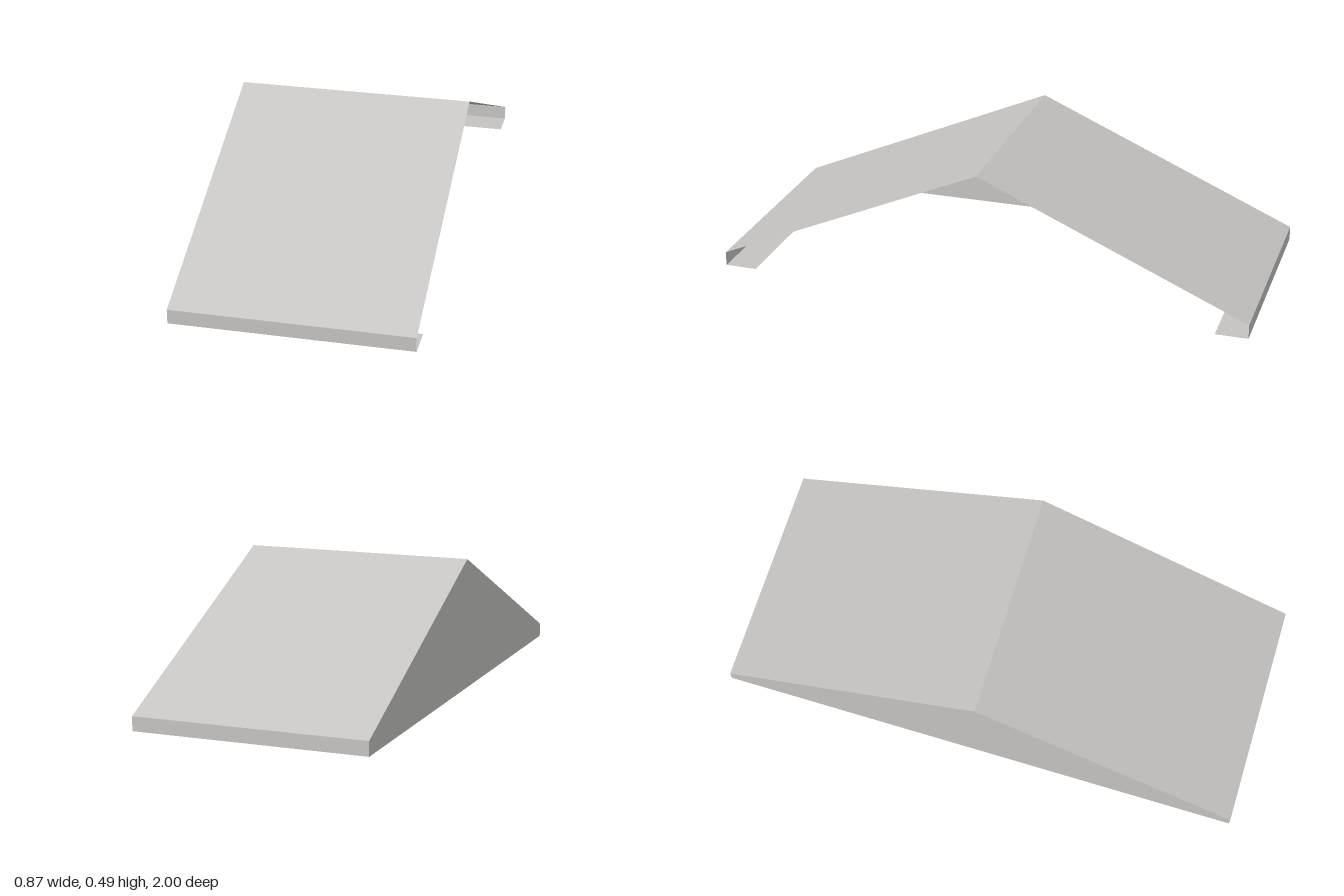
import * as THREE from 'three';

const HALF_WIDTH = 0.433, HALF_DEPTH = 1, EAVE = 0.053, RIDGE = 0.49, SOFFIT = 0.12;

export function createModel() {
  const model = new THREE.Group();
  model.name = 'gableRoof';

  const roofGrey = new THREE.MeshStandardMaterial({ color: 0xc4c3c1, side: THREE.DoubleSide });
  roofGrey.name = 'roofGrey';

  // Flat panel spanning the roof's width between two [z, y] points
  function addPanel(name, [z0, y0], [z1, y1], parent) {
    const w = HALF_WIDTH;
    const geometry = new THREE.BufferGeometry();
    geometry.setAttribute('position', new THREE.Float32BufferAttribute(
      [-w, y0, z0, w, y0, z0, w, y1, z1, -w, y1, z1], 3));
    geometry.setIndex([0, 1, 2, 0, 2, 3]);
    geometry.computeVertexNormals();
    const mesh = new THREE.Mesh(geometry, roofGrey);
    mesh.name = name;
    parent.add(mesh);
  }

  // Each half: soffit, fascia and slope; the back half is the front one turned around
  for (const side of ['front', 'back']) {
    const half = new THREE.Group();
    half.name = side + 'Half';
    addPanel(side + 'Soffit', [HALF_DEPTH - SOFFIT, 0], [HALF_DEPTH, 0], half);
    addPanel(side + 'Fascia', [HALF_DEPTH, 0], [HALF_DEPTH, EAVE], half);
    addPanel(side + 'Slope', [HALF_DEPTH, EAVE], [0, RIDGE], half);
    if (side === 'back') half.rotation.y = Math.PI;
    model.add(half);
  }

  // Gable wall closing the -x end; the +x end stays open
  const outline = new THREE.Shape([
    [-HALF_DEPTH, 0], [HALF_DEPTH, 0], [HALF_DEPTH, EAVE], [0, RIDGE], [-HALF_DEPTH, EAVE],
  ].map(([z, y]) => new THREE.Vector2(z, y)));
  const gable = new THREE.Mesh(new THREE.ShapeGeometry(outline), roofGrey);
  gable.name = 'gableWall';
  gable.rotation.y = -Math.PI / 2;
  gable.position.x = -HALF_WIDTH;
  model.add(gable);

  return model;
}
